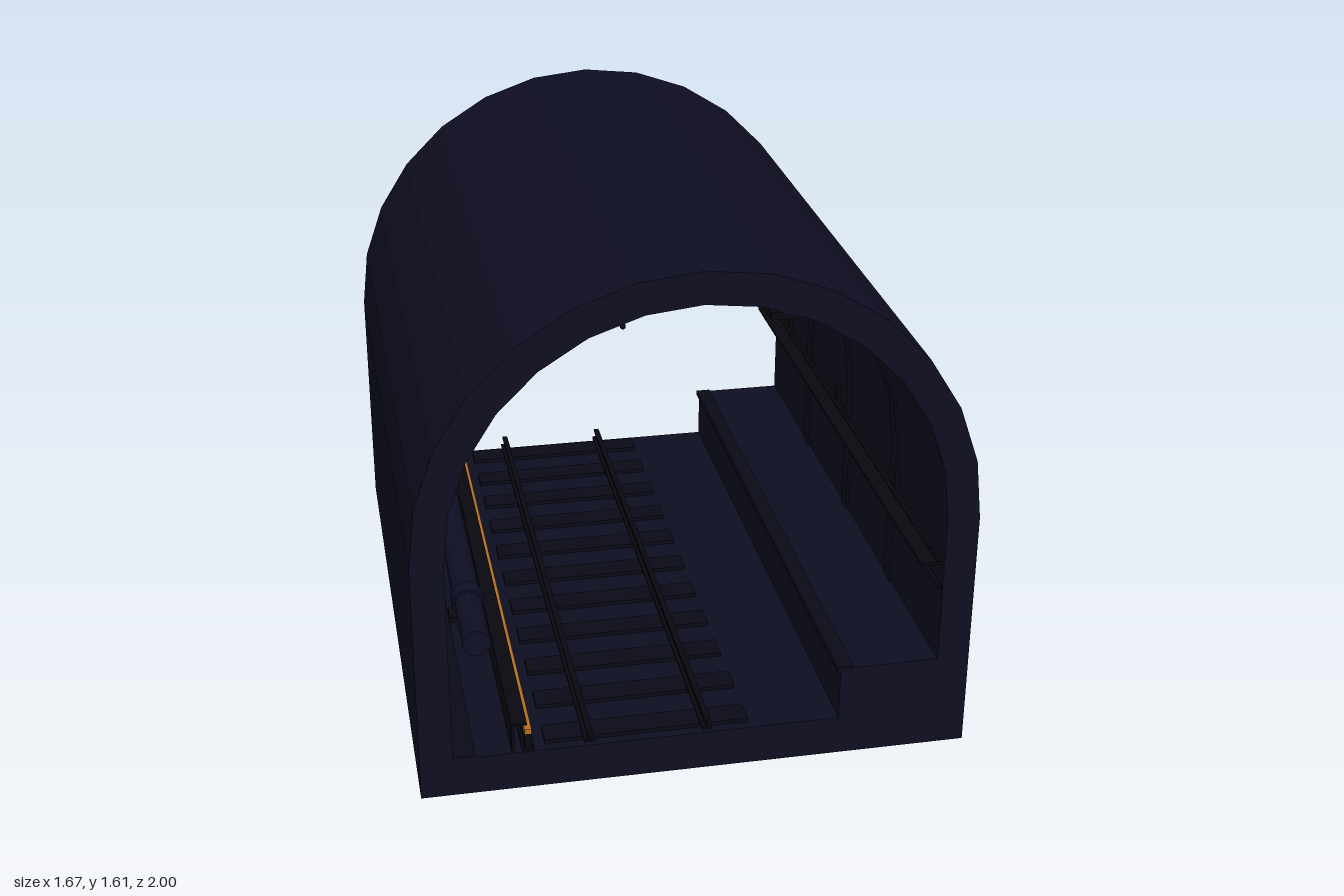
import * as THREE from 'three';

const mat = (name, color) => {
  const m = new THREE.MeshStandardMaterial({ color });
  m.name = name;
  return m;
};

export function createModel() {
  const concrete = mat('dark navy concrete', 0x0e0e22);
  const lining = mat('rib navy', 0x0b0b1b);
  const trackBed = mat('sleeper navy', 0x0a0a18);
  const steel = mat('dark steel', 0x08080f);
  const pipeMat = mat('pipe navy', 0x0f0f26);
  const copper = mat('copper orange', 0xb87020);

  const root = new THREE.Group();
  root.name = 'tunnelSection';

  const add = (name, geo, material, x = 0, y = 0, z = 0) => {
    const m = new THREE.Mesh(geo, material);
    m.name = name;
    m.position.set(x, y, z);
    root.add(m);
    return m;
  };
  // Box given by its x and y limits, centred on z
  const bar = (name, material, x0, x1, y0, y1, z = 0, depth = 2) =>
    add(name, new THREE.BoxGeometry(x1 - x0, y1 - y0, depth), material,
      (x0 + x1) / 2, (y0 + y1) / 2, z);
  // Round bar running along the tunnel
  const rod = (name, material, x, y, r, sides, z = 0, length = 2) =>
    add(name, new THREE.CylinderGeometry(r, r, length, sides).rotateX(Math.PI / 2),
      material, x, y, z);

  // Horseshoe outline: straight legs and a 14-sided half circle
  const SPRING = 0.775, FLOOR = 0.125;
  const horseshoe = (r, base) => {
    const pts = [new THREE.Vector2(r, base)];
    for (let i = 0; i <= 14; i++) {
      const a = (Math.PI * i) / 14;
      pts.push(new THREE.Vector2(r * Math.cos(a), SPRING + r * Math.sin(a)));
    }
    pts.push(new THREE.Vector2(-r, base));
    return pts;
  };
  const extrude = (shape, depth) =>
    new THREE.ExtrudeGeometry(shape, { depth, bevelEnabled: false }).translate(0, 0, -depth / 2);

  // Shell with floor slab
  const shell = new THREE.Shape(horseshoe(0.835, 0));
  shell.holes.push(new THREE.Path(horseshoe(0.737, FLOOR).reverse()));
  add('tunnelShell', extrude(shell, 2), concrete);

  // Shallow arch ribs inside the lining
  const rib = new THREE.Shape([...horseshoe(0.739, FLOOR), ...horseshoe(0.73, FLOOR).reverse()]);
  const ribGeo = extrude(rib, 0.06);
  for (const z of [-0.5, 0, 0.5]) add('archRib', ribGeo, lining, 0, 0, z);

  // Raised walkway with edge lip, and drain kerb opposite
  bar('walkway', concrete, 0.435, 0.737, 0.12, 0.3);
  bar('walkwayLip', trackBed, 0.425, 0.475, 0.288, 0.305);
  bar('drainKerb', trackBed, -0.737, -0.67, 0.12, 0.132);

  // Sleepers
  for (let i = 0; i < 11; i++)
    bar('sleeper', trackBed, -0.46, 0.16, 0.12, 0.138, -0.93 + i * 0.186, 0.08);

  // Running rails
  for (const x of [-0.33, 0.027]) {
    bar('railFoot', steel, x - 0.015, x + 0.015, 0.136, 0.144);
    bar('railWeb', steel, x - 0.003, x + 0.003, 0.144, 0.167);
    bar('railHead', steel, x - 0.009, x + 0.009, 0.167, 0.175);
  }

  // Power rail with copper top and side cover
  bar('powerRailCap', copper, -0.523, -0.502, 0.187, 0.203);
  bar('powerRailWeb', steel, -0.523, -0.502, 0.14, 0.187);
  bar('powerRailFoot', steel, -0.531, -0.495, 0.13, 0.14);
  for (let i = 0; i < 5; i++)
    bar('railSupport', trackBed, -0.53, -0.496, FLOOR, 0.131, -0.88 + i * 0.44, 0.06);
  bar('coverBoard', steel, -0.562, -0.554, FLOOR, 0.225);
  bar('coverTop', steel, -0.554, -0.515, 0.218, 0.225);

  // Wall pipe with saddles and copper collar
  rod('wallPipe', pipeMat, -0.653, 0.514, 0.042, 10);
  rod('pipeCollar', copper, -0.653, 0.514, 0.05, 10, -0.29, 0.16);
  for (const z of [-0.8, 0.05, 0.75]) {
    rod('pipeFlange', pipeMat, -0.653, 0.514, 0.049, 10, z, 0.05);
    bar('pipeSaddle', steel, -0.71, -0.625, 0.458, 0.475, z, 0.06);
  }

  // Cable shelf with stepped cables and wall brackets
  bar('cableShelf', steel, 0.665, 0.737, 0.628, 0.638);
  for (let i = 0; i < 3; i++)
    rod('cable', steel, 0.692 + i * 0.012, 0.686 - i * 0.02, 0.006, 6);
  rod('lowCable', steel, 0.728, 0.55, 0.007, 6);
  for (const z of [-0.77, -0.12, 0.54])
    bar('cableBracket', steel, 0.722, 0.737, 0.545, 0.7, z, 0.025);

  // Ceiling conduit and lamp housings
  rod('ceilingConduit', steel, -0.225, 1.465, 0.008, 6);
  bar('lampTray', steel, 0.185, 0.265, 1.452, 1.475);
  for (const z of [-0.66, 0, 0.66])
    bar('lampHousing', trackBed, 0.198, 0.255, 1.433, 1.453, z, 0.3);

  return root;
}
